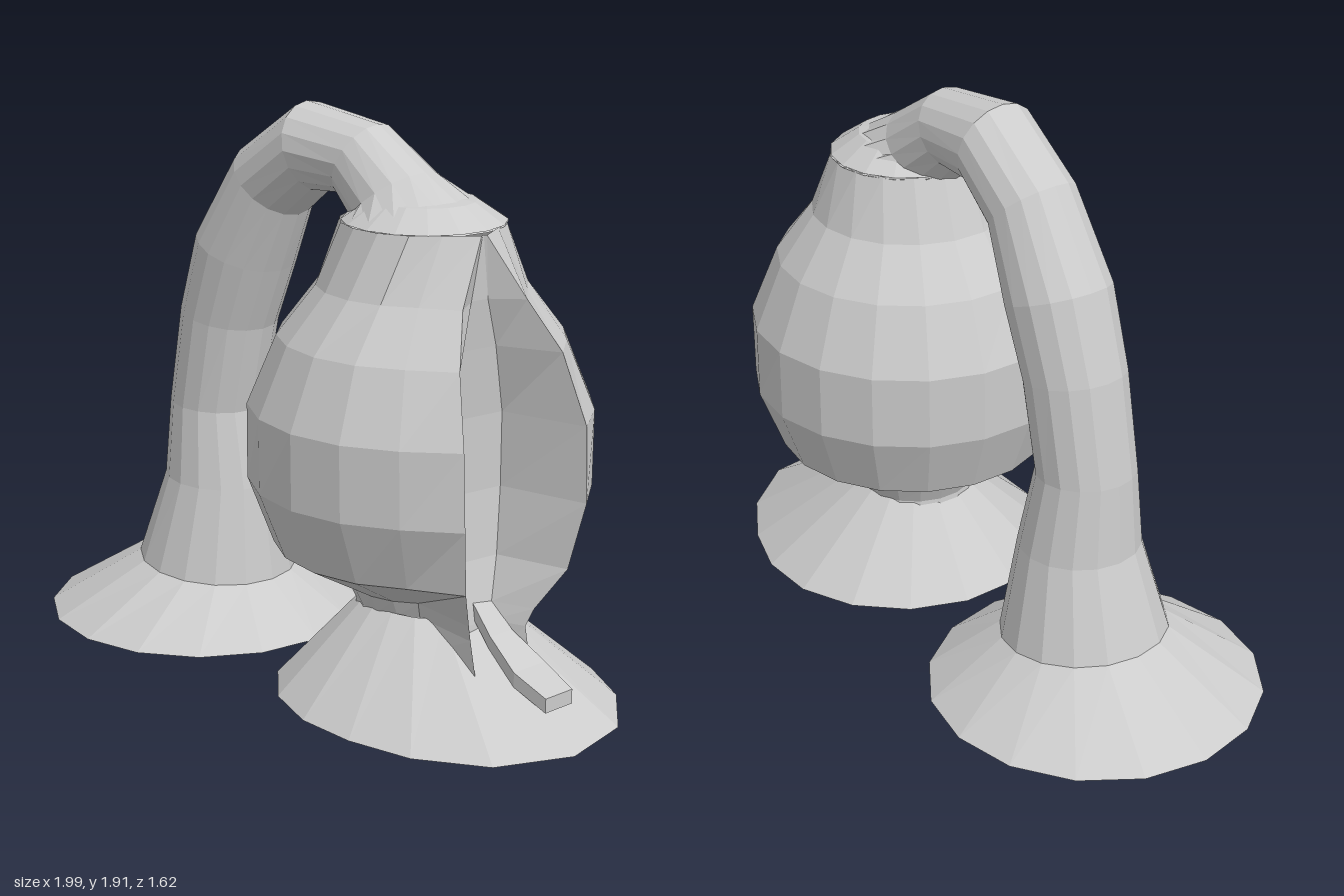
import * as THREE from 'three';

const rad = THREE.MathUtils.degToRad;
const ARCH = rad(31.6);   // heading of the arched arm
const OPEN = rad(41.5);   // heading of the slot in the bulb
const SIDES = 16;

// Skin rows of points (listed bottom to top, each row running from x towards z).
function loft(name, rows) {
  const n = rows[0].length, index = [];
  for (let i = 0; i < rows.length - 1; i++) {
    for (let j = 0; j < n - 1; j++) {
      const a = i * n + j, c = a + n;
      index.push(a, c, a + 1, a + 1, c, c + 1);
    }
  }
  const geo = new THREE.BufferGeometry().setFromPoints(rows.flat());
  geo.setIndex(index);
  geo.computeVertexNormals();
  const mat = new THREE.MeshStandardMaterial({ color: 0xcccccc, flatShading: true, side: THREE.DoubleSide });
  const mesh = new THREE.Mesh(geo, mat);
  mesh.name = name;
  return mesh;
}

const polar = (cx, y, cz, r, a) => new THREE.Vector3(cx + r * Math.cos(a), y, cz + r * Math.sin(a));

// Point at a distance along a heading and a distance to its side.
const along = (cx, y, cz, heading, out, side) => new THREE.Vector3(
  cx + out * Math.cos(heading) - side * Math.sin(heading), y,
  cz + out * Math.sin(heading) + side * Math.cos(heading));

// Ring tilted by `tilt` degrees within the vertical plane of the arch.
function ring([x, y, z, r, tilt = 0]) {
  const t = rad(tilt), pts = [];
  for (let j = 0; j <= SIDES; j++) {
    const a = (j / SIDES) * Math.PI * 2, u = r * Math.cos(a);
    pts.push(along(x, y - u * Math.sin(t), z, ARCH, u * Math.cos(t), r * Math.sin(a)));
  }
  return pts;
}

// Base ring, drawn out towards the slot by `bulge`.
function baseRing([x, y, z, r, bulge]) {
  const pts = [];
  for (let j = 0; j <= SIDES; j++) {
    const a = OPEN + (j / SIDES) * Math.PI * 2;
    pts.push(polar(x, y, z, r + bulge * Math.max(0, Math.cos(a - OPEN)) ** 2.7, a));
  }
  return pts;
}

export function createModel() {
  const model = new THREE.Group();
  model.name = 'archedStandWithBulb';

  // Flared foot of the stand: x, y, z, radius, tilt
  model.add(loft('standFoot', [
    [-0.478, 0.085, -0.29, 0.001], [-0.478, 0.172, -0.292, 0.522], [-0.43, 0.345, -0.27, 0.262, 5],
  ].map(ring)));

  // Arm rising from the foot, arching over and flaring onto the bulb
  model.add(loft('arm', [
    [-0.43, 0.345, -0.27, 0.262, 5],
    [-0.405, 0.64, -0.255, 0.19, 2],
    [-0.42, 0.89, -0.255, 0.155, 3],
    [-0.37, 1.19, -0.23, 0.158, 10],
    [-0.3, 1.42, -0.19, 0.165, 20],
    [-0.19, 1.65, -0.12, 0.142, 42],
    [-0.035, 1.78, -0.02, 0.138, 75],
    [0.14, 1.765, 0.085, 0.125, 118],
    [0.25, 1.67, 0.155, 0.145, 143],
    [0.35, 1.615, 0.212, 0.245, 180],
  ].map(ring)));

  // Base under the bulb: x, y, z, radius, bulge
  model.add(loft('bulbBase', [
    [0.41, 0.003, 0.26, 0.001, 0], [0.41, 0.057, 0.26, 0.26, 0],
    [0.41, 0.185, 0.26, 0.492, 0.155], [0.365, 0.46, 0.225, 0.19, 0.04],
  ].map(baseRing)));

  // Bulb rows: height, shell radius, lip radius, half angle of the slot,
  // then distance out and half width of the slot's back wall
  const rows = [
    [0.34, 0.2, 0.425, 14, 0.3, 0.05], [0.45, 0.19, 0.4, 15, 0.29, 0.05],
    [0.505, 0.215, 0.42, 17, 0.28, 0.06], [0.635, 0.44, 0.505, 22, 0.25, 0.1],
    [0.84, 0.518, 0.55, 24, 0.23, 0.125], [1.07, 0.518, 0.54, 24.5, 0.23, 0.125],
    [1.28, 0.43, 0.46, 24, 0.25, 0.08], [1.43, 0.315, 0.36, 19, 0.27, 0.03],
    [1.62, 0.245, 0.285, 2, 0.28, 0.002],
  ];
  const CX = 0.345, CZ = 0.217;

  // Outer shell, from one lip of the slot round the back to the other
  model.add(loft('bulbShell', rows.map(([y, r, lip, half]) => {
    const pts = [], start = OPEN + rad(half), sweep = Math.PI * 2 - 2 * rad(half);
    for (let j = 0; j <= SIDES; j++) {
      const end = j === 0 || j === SIDES;
      pts.push(polar(CX, y, CZ, end ? lip : r, start + (sweep * j) / SIDES));
    }
    return pts;
  })));

  // Rounded top of the bulb under the flare of the arm
  model.add(loft('bulbCrown', [
    [0.35, 1.62, 0.215, 0.245], [0.35, 1.68, 0.215, 0.155], [0.35, 1.705, 0.215, 0.001],
  ].map(ring)));

  // Recess: side walls running in from the lips to a lens-shaped back wall
  model.add(loft('slotRecess', rows.map(([y, , lip, half, out, wide]) => [
    polar(CX, y, CZ, lip, OPEN - rad(half)),
    along(CX, y, CZ, OPEN, out, -wide),
    along(CX, y, CZ, OPEN, out, wide),
    polar(CX, y, CZ, lip, OPEN + rad(half)),
  ])));

  // Sloping tongue at the foot of the slot: distance out, height, half width
  const tongue = [[0.22, 0.56, 0.03], [0.36, 0.43, 0.045], [0.48, 0.36, 0.065], [0.6, 0.315, 0.055]];
  const section = [[-1, -0.04], [-1, 0.005], [1, 0.005], [1, -0.04], [-1, -0.04]];
  const tongueRows = tongue.map(([out, y, w]) =>
    section.map(([k, dy]) => along(CX, y + dy, CZ, rad(36), out, w * k)));
  const [tipX, tipY, tipZ] = [0.6 * Math.cos(rad(36)) + CX, 0.29, 0.6 * Math.sin(rad(36)) + CZ];
  tongueRows.push(section.map(() => new THREE.Vector3(tipX, tipY, tipZ)));
  model.add(loft('tongue', tongueRows));

  return model;
}
